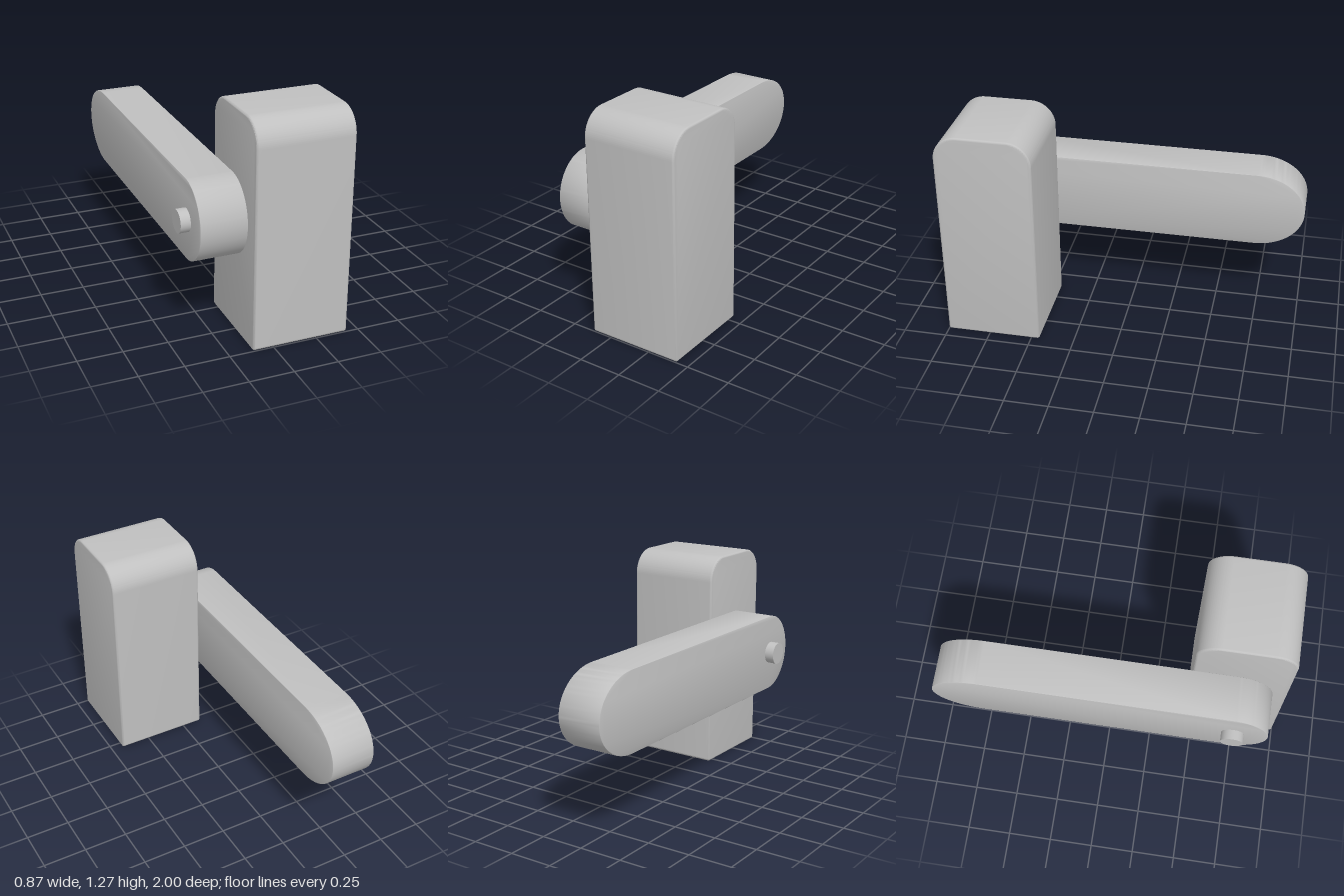
import * as THREE from 'three';
import { toCreasedNormals } from 'three/addons/utils/BufferGeometryUtils.js';

// Extrudes a side profile (z, y) across x from xMin to xMax with softened rims
function sideExtrude(shape, xMin, xMax, bevel) {
  const geometry = new THREE.ExtrudeGeometry(shape, {
    depth: xMax - xMin - 2 * bevel,
    curveSegments: 24,
    bevelEnabled: true,
    bevelThickness: bevel,
    bevelSize: bevel,
    bevelOffset: -bevel,
    bevelSegments: 4,
  });
  geometry.rotateY(-Math.PI / 2);
  geometry.translate(xMax - bevel, 0, 0);
  return toCreasedNormals(geometry, 0.6);
}

// Upright block profile: large top radii, small bottom radii
function bodyProfile(z0, z1, top, rTop, rBase) {
  const s = new THREE.Shape();
  s.moveTo(z0 + rBase, 0);
  s.lineTo(z1 - rBase, 0);
  s.absarc(z1 - rBase, rBase, rBase, -Math.PI / 2, 0, false);
  s.lineTo(z1, top - rTop);
  s.absarc(z1 - rTop, top - rTop, rTop, 0, Math.PI / 2, false);
  s.lineTo(z0 + rTop, top);
  s.absarc(z0 + rTop, top - rTop, rTop, Math.PI / 2, Math.PI, false);
  s.lineTo(z0, rBase);
  s.absarc(z0 + rBase, rBase, rBase, Math.PI, Math.PI * 1.5, false);
  return s;
}

// Long bar profile with elliptical ends
function armProfile(zBack, zFront, yMid, half, rBack, rFront) {
  const s = new THREE.Shape();
  s.moveTo(zBack + rBack, yMid - half);
  s.lineTo(zFront - rFront, yMid - half);
  s.absellipse(zFront - rFront, yMid, rFront, half, -Math.PI / 2, Math.PI / 2, false);
  s.lineTo(zBack + rBack, yMid + half);
  s.absellipse(zBack + rBack, yMid, rBack, half, Math.PI / 2, Math.PI * 1.5, false);
  return s;
}

export function createModel() {
  const model = new THREE.Group();
  const grey = new THREE.MeshStandardMaterial({ color: 0xc0c0c0 });
  grey.name = 'light grey';

  const add = (name, geometry) => {
    const mesh = new THREE.Mesh(geometry, grey);
    mesh.name = name;
    model.add(mesh);
    return mesh;
  };

  // Upright block
  add('body', sideExtrude(bodyProfile(0.45, 1, 1.27, 0.14, 0.015), -0.118, 0.432, 0.012));

  // Lever bar beside the block
  add('arm', sideExtrude(armProfile(-1, 0.918, 0.685, 0.226, 0.28, 0.21), -0.38, -0.122, 0.003));

  // Pivot pin through the bar into the block
  const pin = add('pivotPin', new THREE.CylinderGeometry(0.064, 0.064, 0.325, 40));
  pin.rotation.z = Math.PI / 2;
  pin.position.set(-0.2725, 0.685, 0.72);

  return model;
}
